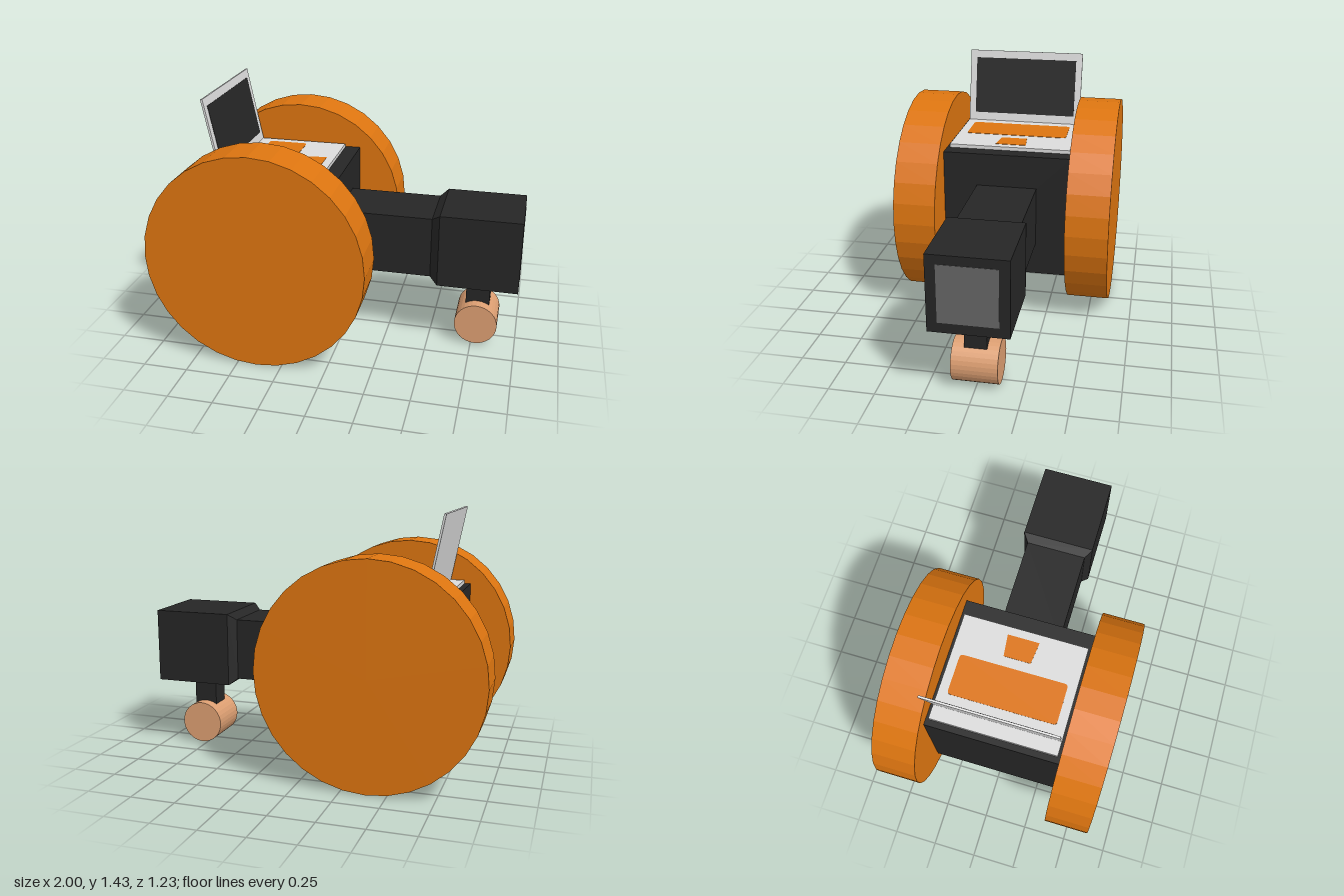
import * as THREE from 'three';

const mat = (name, color, flat = false) => {
  const m = new THREE.MeshStandardMaterial({ color, flatShading: flat });
  m.name = name;
  return m;
};

export function createModel() {
  const model = new THREE.Group();
  model.name = 'rover';
  const orange = mat('orange', 0xdd7510, true);
  const black = mat('black', 0x262626, true);
  const silver = mat('silver', 0xdcdcdc, true);
  const glass = mat('glassGrey', 0x666666, true);
  const tan = mat('tan', 0xdd9f72, true);

  const add = (name, geo, material, x, y, z, parent = model) => {
    const mesh = new THREE.Mesh(geo, material);
    mesh.name = name;
    mesh.position.set(x, y, z);
    parent.add(mesh);
    return mesh;
  };
  // Box given by its minimum and maximum on each axis
  const box = (name, material, [x0, x1], [y0, y1], [z0, z1], parent = model) =>
    add(name, new THREE.BoxGeometry(x1 - x0, y1 - y0, z1 - z0), material,
      (x0 + x1) / 2, (y0 + y1) / 2, (z0 + z1) / 2, parent);
  // Disc with its axle along z and a vertex pointing to +x
  const disc = (r, width) =>
    new THREE.CylinderGeometry(r, r, width, 32).rotateX(Math.PI / 2);

  // Body and the two drive wheels
  box('body', black, [-0.755, -0.02], [0.25, 0.982], [-0.37, 0.37]);
  for (const s of [1, -1]) {
    add(s > 0 ? 'frontWheel' : 'backWheel', disc(0.612, 0.243), orange, -0.389, 0.614, s * 0.4915);
  }

  // Neck, square flare and head block
  box('neck', black, [-0.03, 0.505], [0.44, 0.79], [-0.175, 0.175]);
  const flare = new THREE.CylinderGeometry(0.21 * Math.SQRT2, 0.175 * Math.SQRT2, 0.045, 4)
    .rotateY(Math.PI / 4).rotateZ(-Math.PI / 2);
  add('neckFlare', flare, black, 0.5275, 0.615, 0);
  box('head', black, [0.55, 0.998], [0.405, 0.825], [-0.209, 0.209]);
  box('headWindow', glass, [0.994, 1], [0.46, 0.775], [-0.155, 0.155]);

  // Caster under the head
  box('casterStem', black, [0.705, 0.84], [0.2, 0.41], [-0.06, 0.06]);
  add('casterWheel', disc(0.122, 0.248), tan, 0.772, 0.132, 0);

  // Laptop deck with keyboard and touchpad
  const laptop = new THREE.Group();
  laptop.name = 'laptop';
  model.add(laptop);
  box('laptopDeck', silver, [-0.72, -0.108], [0.98, 1.003], [-0.353, 0.353], laptop);

  const plate = (name, shape) => {
    const geo = new THREE.ExtrudeGeometry(shape, { depth: 0.004, bevelEnabled: false, curveSegments: 3 });
    add(name, geo.rotateX(-Math.PI / 2), orange, 0, 1.001, 0, laptop);
  };
  const [x0, x1, z, r] = [-0.565, -0.335, 0.302, 0.02];
  const keys = new THREE.Shape();
  keys.moveTo(x0 + r, -z);
  keys.lineTo(x1 - r, -z);
  keys.quadraticCurveTo(x1, -z, x1, -z + r);
  keys.lineTo(x1, z - r);
  keys.quadraticCurveTo(x1, z, x1 - r, z);
  keys.lineTo(x0 + r, z);
  keys.quadraticCurveTo(x0, z, x0, z - r);
  keys.lineTo(x0, -z + r);
  keys.quadraticCurveTo(x0, -z, x0 + r, -z);
  plate('keyboard', keys);
  plate('touchpad', new THREE.Shape([
    [-0.28, -0.076], [-0.155, -0.09], [-0.155, 0.09], [-0.28, 0.076],
  ].map(([x, y]) => new THREE.Vector2(x, y))));

  // Screen leaning back from its hinge
  const lid = new THREE.Group();
  lid.name = 'laptopLid';
  lid.position.set(-0.625, 0.985, 0);
  lid.rotation.z = 0.197;
  laptop.add(lid);
  box('lidPanel', silver, [-0.012, 0], [0, 0.458], [-0.353, 0.353], lid);
  box('display', black, [-0.003, 0.002], [0.067, 0.412], [-0.314, 0.314], lid);

  return model;
}
